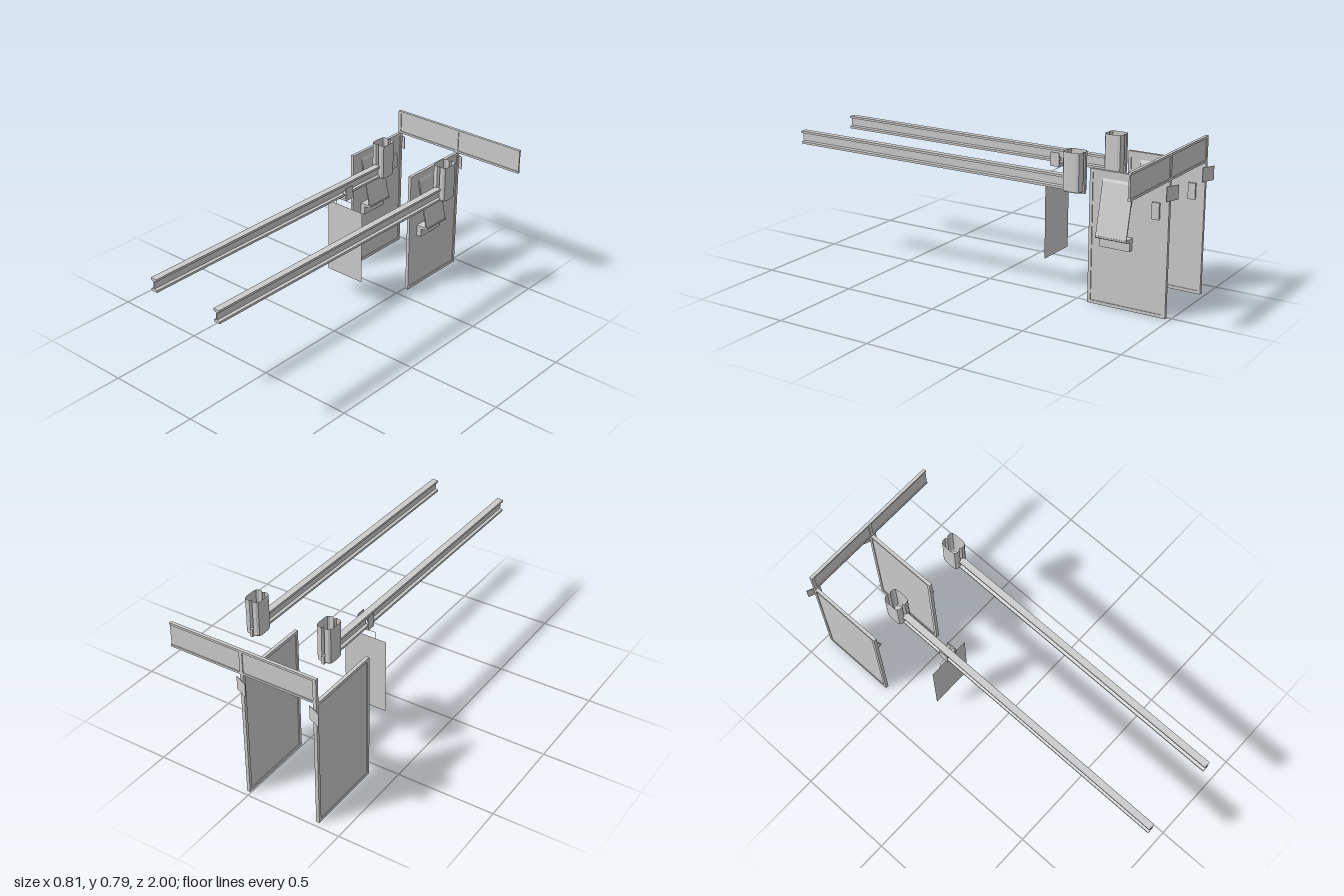
import * as THREE from 'three';

const mat = new THREE.MeshStandardMaterial({ color: 0xcccccc, flatShading: true, side: THREE.DoubleSide });

function add(parent, name, geometry) {
  const mesh = new THREE.Mesh(geometry, mat);
  mesh.name = name;
  parent.add(mesh);
  return mesh;
}

// box given by its limits on each axis
function box(parent, name, x0, x1, y0, y1, z0, z1) {
  const mesh = add(parent, name, new THREE.BoxGeometry(x1 - x0, y1 - y0, z1 - z0));
  mesh.position.set((x0 + x1) / 2, (y0 + y1) / 2, (z0 + z1) / 2);
  return mesh;
}

// profile in x,y extruded from z0 to z1
function profile(parent, name, points, z0, z1) {
  const shape = new THREE.Shape(points.map(p => new THREE.Vector2(p[0], p[1])));
  const mesh = add(parent, name, new THREE.ExtrudeGeometry(shape, { depth: z1 - z0, bevelEnabled: false }));
  mesh.position.z = z0;
  return mesh;
}

// framed divider with shelf, sloping board, switch and angled plate; x = 0 at its right face
function booth(x) {
  const g = new THREE.Group();
  g.name = 'booth';
  const w = 0.017, f = 0.016, back = -0.976, front = -0.567, top = 0.663;
  box(g, 'dividerPanel', 0.004, w - 0.004, f, top - f, back + f, front - f);
  box(g, 'frontPost', 0, w, 0, top, front - f, front);
  box(g, 'backPost', 0, w, 0, top, back, back + f);
  box(g, 'bottomRail', 0, w, 0, f, back + f, front - f);
  box(g, 'topRail', 0, w, top - f, top, back + f, front - f);
  profile(g, 'shelf', [[0.013, 0.30], [0.04, 0.30], [0.04, 0.345], [0.07, 0.349], [0.081, 0.355],
    [0.081, 0.363], [0.072, 0.361], [0.013, 0.361]], -0.795, -0.635);
  profile(g, 'slopingBoard', [[0.07, 0.36], [0.077, 0.36], [0.019, 0.612], [0.013, 0.625], [0.013, 0.607]], -0.795, -0.635);
  box(g, 'switchBox', 0.013, 0.023, 0.472, 0.553, -0.93, -0.892);
  const plate = add(g, 'anglePlate', new THREE.BoxGeometry(0.072, 0.07, 0.003));
  plate.position.set(0.006, 0.605, -0.985);
  plate.rotation.y = -0.4;
  g.position.x = x;
  return g;
}

// open-topped housing with rounded corners, centre groove and tapered, closed bottom
function housing(parent) {
  const half = [[0, 0.038], [0.008, 0.048], [0.026, 0.047], [0.036, 0.040], [0.040, 0.026],
    [0.040, -0.026], [0.036, -0.040], [0.026, -0.047], [0.008, -0.048], [0, -0.038]];
  const ring = [...half, ...half.slice(1, -1).reverse().map(([x, z]) => [-x, z])];
  const levels = [[0.79, 1], [0.61, 1], [0.603, 0.9]];
  const n = ring.length, pos = [], index = [];
  for (const [y, s] of levels) for (const [x, z] of ring) pos.push(x * s, y, z * s);
  for (let l = 0; l < levels.length - 1; l++) {
    for (let i = 0; i < n; i++) {
      const a = l * n + i, b = l * n + (i + 1) % n;
      index.push(a, a + n, b, b, a + n, b + n);
    }
  }
  const centre = pos.length / 3, last = (levels.length - 1) * n;
  pos.push(0, 0.603, 0);
  for (let i = 0; i < n; i++) index.push(last + (i + 1) % n, last + i, centre);
  const geo = new THREE.BufferGeometry();
  geo.setAttribute('position', new THREE.Float32BufferAttribute(pos, 3));
  geo.setIndex(index);
  geo.computeVertexNormals();
  add(parent, 'motorHousing', geo).position.z = -0.593;
}

// I-section track with its motor housing
function lane(x) {
  const g = new THREE.Group();
  g.name = 'lane';
  const w = 0.017, t = 0.003, y0 = 0.606, y1 = 0.673, f = 0.011;
  profile(g, 'track', [[-w, y0], [w, y0], [w, y0 + f], [t, y0 + f + 0.004], [t, y1 - f - 0.004], [w, y1 - f],
    [w, y1], [-w, y1], [-w, y1 - f], [-t, y1 - f - 0.004], [-t, y0 + f + 0.004], [-w, y0 + f]], -0.58, 1);
  housing(g);
  box(g, 'housingFin', -0.007, 0.007, 0.598, 0.64, -0.648, -0.63);
  g.position.x = x;
  return g;
}

// carrier on the track with rollers, wire hanger and hanging sheet
function carrier(x) {
  const g = new THREE.Group();
  g.name = 'carrier';
  const z0 = -0.305, z1 = -0.255, zm = -0.28;
  box(g, 'carrierBase', -0.03, 0.03, 0.59, 0.603, z0, z1);
  for (const s of [-1, 1]) {
    const side = box(g, 'carrierSide', -0.002, 0.002, 0.59, 0.66, z0, z1);
    side.position.x = s * 0.028;
    for (const z of [z0 + 0.011, z1 - 0.011]) {
      const roller = add(g, 'roller', new THREE.CylinderGeometry(0.01, 0.01, 0.018, 12));
      roller.rotation.z = Math.PI / 2;
      roller.position.set(s * 0.018, 0.628, z);
    }
  }
  const r = 0.0008, hx = 0.055;
  box(g, 'hangerStem', -r, r, 0.575, 0.59, zm - r, zm + r);
  box(g, 'hangerBar', -hx, hx, 0.575 - 2 * r, 0.575, zm - r, zm + r);
  for (const s of [-hx, hx]) box(g, 'hangerArm', s - r, s + r, 0.535, 0.575, zm - r, zm + r);
  add(g, 'hangingSheet', new THREE.PlaneGeometry(0.227, 0.4)).position.set(0.002, 0.34, zm);
  g.position.x = x;
  return g;
}

// framed panel spanning across the back
function header() {
  const g = new THREE.Group();
  g.name = 'header';
  const x0 = -0.38, x1 = 0.405, y0 = 0.663, y1 = 0.79, z0 = -0.976, z1 = -0.96, f = 0.011;
  box(g, 'headerPanel', x0, x1, y0 + f, y1 - f, z0 + 0.004, z1 - 0.004);
  box(g, 'headerBottomRail', x0, x1, y0, y0 + f, z0, z1);
  box(g, 'headerTopRail', x0, x1, y1 - f, y1, z0, z1);
  for (const x of [x0, 0.005]) box(g, 'headerPost', x, x + 0.017, y0 + f, y1 - f, z0, z1);
  return g;
}

export function createModel() {
  const model = new THREE.Group();
  model.name = 'practiceLanes';
  model.add(header(), booth(-0.38), booth(0.005), lane(-0.185), lane(0.21), carrier(-0.175));
  return model;
}
